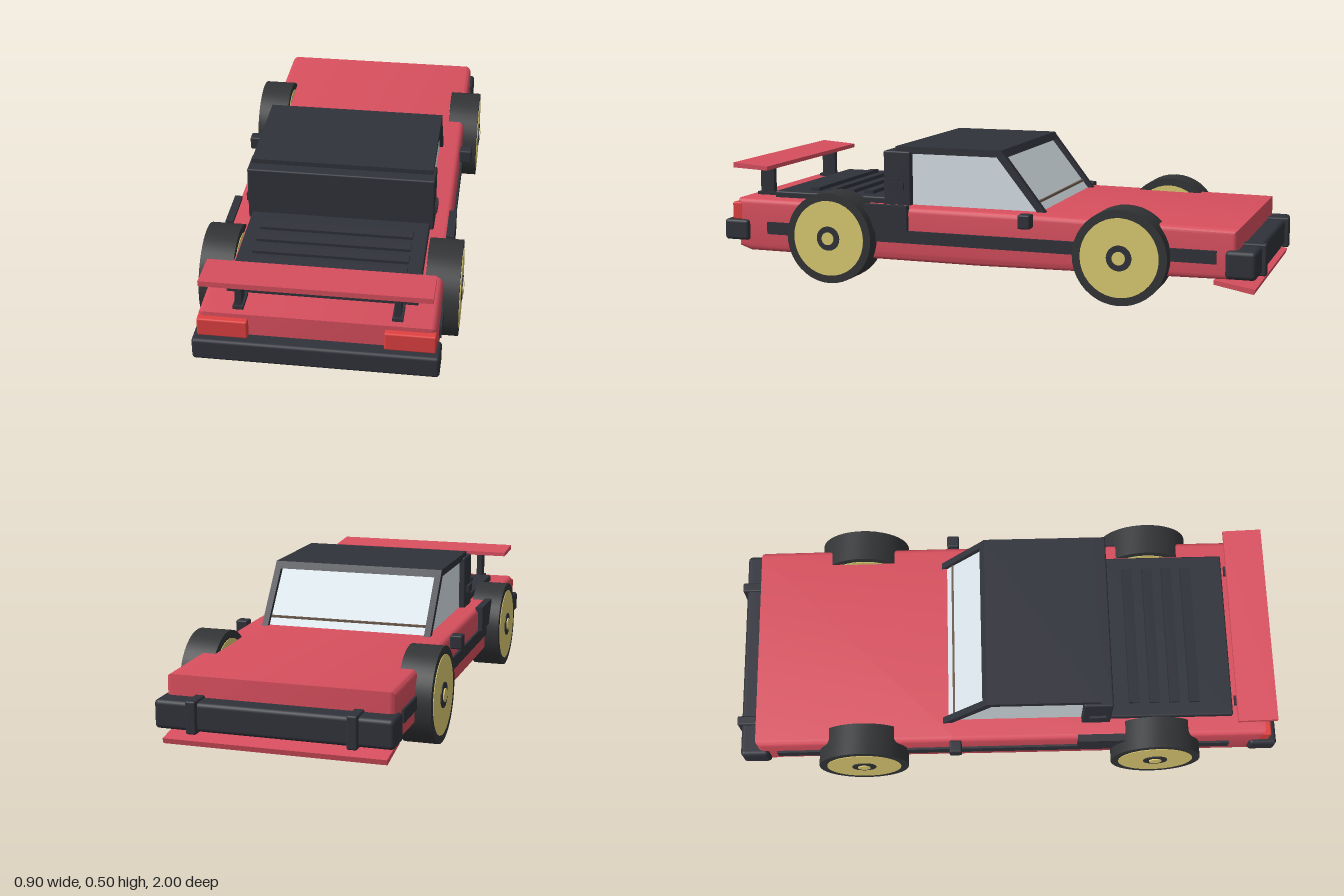
import * as THREE from 'three';
import { RoundedBoxGeometry } from 'three/addons/geometries/RoundedBoxGeometry.js';
import { toCreasedNormals } from 'three/addons/utils/BufferGeometryUtils.js';

const paint = (color) => new THREE.MeshStandardMaterial({ color });
const RED = paint(0xd84f5e), BLACK = paint(0x30323a), TYRE = paint(0x333436), GOLD = paint(0xdccb72);
const GLASS = paint(0xd8e2e8), LAMP = paint(0xe04040), BROWN = paint(0x6e5a4c);

export function createModel() {
  const car = new THREE.Group();
  car.name = 'sportsCar';

  const add = (name, geo, mat, x = 0, y = 0, z = 0) => {
    const mesh = new THREE.Mesh(geo, mat);
    mesh.name = name;
    mesh.position.set(x, y, z);
    car.add(mesh);
    return mesh;
  };
  // Box given by its limits on each axis
  const box = (name, mat, [x0, x1], [y0, y1], [z0, z1], r = 0) => {
    const s = [x1 - x0, y1 - y0, z1 - z0];
    const geo = r ? new RoundedBoxGeometry(...s, 3, r) : new THREE.BoxGeometry(...s);
    return add(name, geo, mat, (x0 + x1) / 2, (y0 + y1) / 2, (z0 + z1) / 2);
  };
  // Side profile of [z, y] points, extruded across x
  const prism = (name, mat, points, x0, x1, bevel = 0) => {
    const shape = new THREE.Shape(points.map(([z, y]) => new THREE.Vector2(z, y)));
    const geo = new THREE.ExtrudeGeometry(shape, {
      depth: x1 - x0 - 2 * bevel, bevelEnabled: bevel > 0,
      bevelSize: bevel, bevelThickness: bevel, bevelSegments: 4,
    });
    geo.rotateY(-Math.PI / 2).translate(x1 - bevel, 0, 0);
    return add(name, toCreasedNormals(geo, 0.6), mat);
  };

  // Body shell with softened edges
  prism('body', RED, [
    [0.93, 0.12], [0.93, 0.265], [-0.2, 0.265], [-0.9, 0.257], [-0.9, 0.125], [0, 0.11], [0.9, 0.11],
  ], -0.385, 0.385, 0.02);
  prism('frontLip', RED, [[-0.84, 0.1], [-0.84, 0.085], [-0.975, 0.06], [-0.98, 0.078]], -0.375, 0.375);

  // Bumpers
  box('rearBumper', BLACK, [-0.4, 0.4], [0.13, 0.207], [0.9, 1], 0.012);
  box('frontBumper', BLACK, [-0.4, 0.4], [0.11, 0.207], [-0.985, -0.88], 0.015);

  // Cabin: glass block under a dark roof and rear bulkhead
  prism('cabinGlass', GLASS, [[0.3, 0.28], [0.3, 0.475], [-0.06, 0.475], [-0.215, 0.28]], -0.305, 0.305);
  prism('roof', BLACK, [[0.335, 0.472], [0.335, 0.497], [-0.068, 0.497], [-0.085, 0.472]], -0.318, 0.318);
  box('rearBulkhead', BLACK, [-0.328, 0.328], [0.28, 0.48], [0.275, 0.38], 0.006);
  const strip = box('dashLine', BROWN, [-0.295, 0.295], [-0.004, 0.004], [-0.004, 0.004]);
  strip.position.set(0, 0.313, -0.19);

  // Engine cover with louvres
  box('engineCover', BLACK, [-0.315, 0.315], [0.275, 0.308], [0.37, 0.83], 0.006);
  for (const z of [0.47, 0.545, 0.618, 0.69]) {
    box('louvre', BLACK, [-0.265, 0.265], [0.3, 0.32], [z - 0.019, z + 0.019]).rotation.x = 0.08;
  }

  // Rear wing
  prism('wingBlade', RED, [[0.83, 0.392], [0.83, 0.407], [0.97, 0.417], [0.97, 0.398]], -0.372, 0.372);

  // Wheel parts, turned around the axle
  const tyreGeo = toCreasedNormals(new THREE.CylinderGeometry(0.165, 0.165, 0.115, 40).rotateZ(Math.PI / 2), 0.6);
  const disc = (r, w) => toCreasedNormals(new THREE.CylinderGeometry(r, r, w, 36).rotateZ(Math.PI / 2), 0.6);
  const rimGeo = disc(0.137, 0.119), hubGeo = disc(0.044, 0.126), capGeo = disc(0.023, 0.134);

  // Everything found on both sides
  for (const s of [-1, 1]) {
    const span = (a, b) => (s > 0 ? [a, b] : [-b, -a]);
    for (const z of [-0.53, 0.55]) {
      const x = s * 0.3825, y = 0.167;
      add('tyre', tyreGeo, TYRE, x, y, z);
      add('rim', rimGeo, GOLD, x, y, z);
      add('hub', hubGeo, BLACK, x, y, z);
      add('hubCap', capGeo, GOLD, x, y, z);
    }
    box('sideStrip', BLACK, span(0.375, 0.393), [0.158, 0.203], [-0.85, 0.825]);
    prism('sideIntake', BLACK, [[0.26, 0.2], [0.26, 0.293], [0.43, 0.293], [0.43, 0.2]], ...span(0.375, 0.402));
    box('tailLight', LAMP, span(0.22, 0.385), [0.205, 0.27], [0.93, 0.972], 0.006);
    box('bumperGuard', BLACK, span(0.25, 0.285), [0.105, 0.215], [-1, -0.9], 0.006);
    box('wingPost', BLACK, span(0.247, 0.268), [0.275, 0.396], [0.86, 0.915]);
    box('wingFoot', BLACK, span(0.24, 0.275), [0.28, 0.296], [0.84, 0.925]);
    prism('windscreenPillar', BLACK,
      [[-0.045, 0.48], [-0.068, 0.495], [-0.235, 0.28], [-0.205, 0.28]], ...span(0.295, 0.318));
    box('pillarVent', BLACK, span(0.32, 0.337), [0.34, 0.367], [0.3, 0.36]);
    box('mirrorArm', BLACK, span(0.36, 0.4), [0.255, 0.275], [-0.195, -0.175]);
    box('mirror', BLACK, span(0.385, 0.43), [0.242, 0.292], [-0.21, -0.165], 0.006);
  }
  return car;
}
